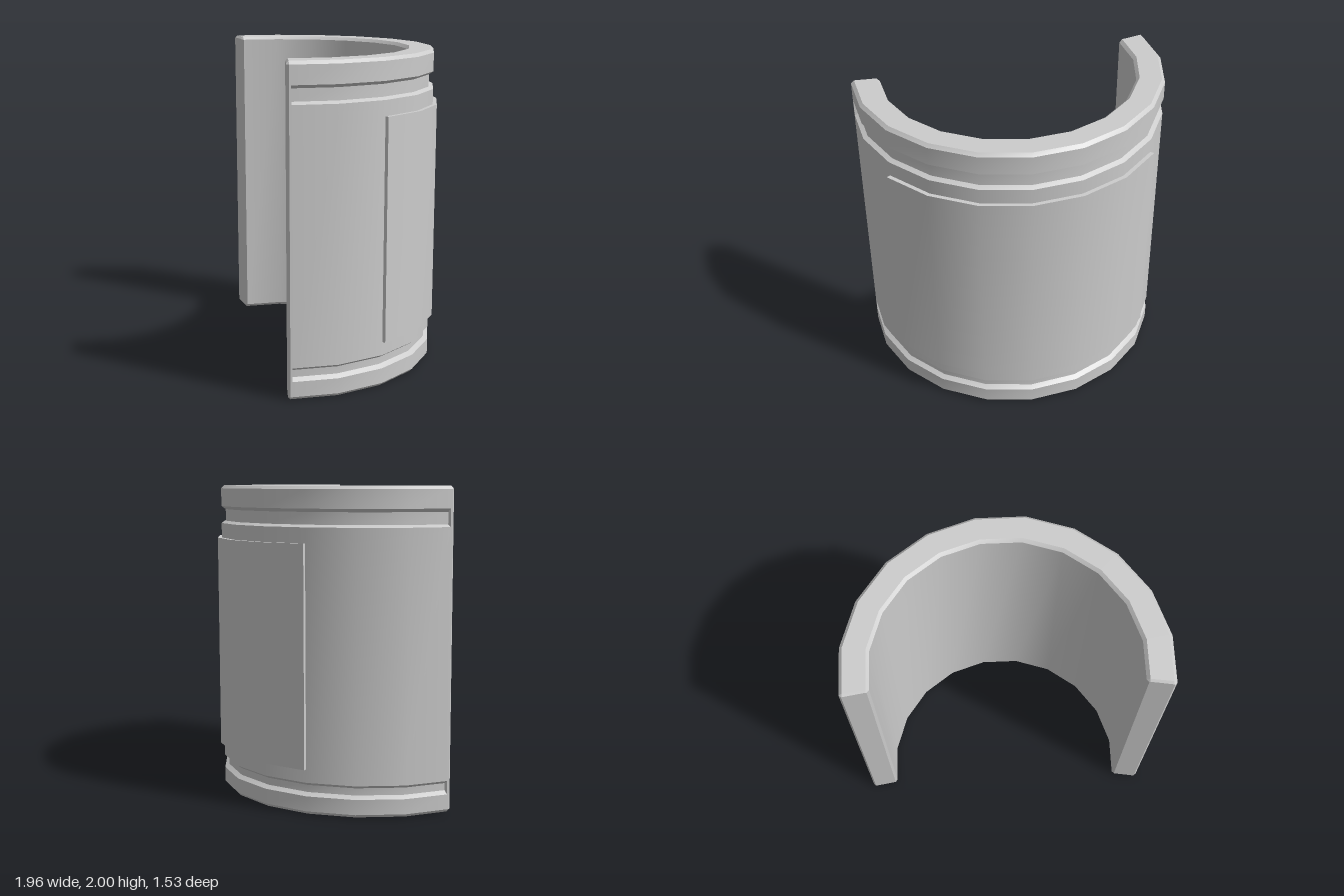
import * as THREE from 'three';
import { toCreasedNormals } from 'three/addons/utils/BufferGeometryUtils.js';

const CX = -0.025, CZ = 0.232;           // axis of the curved shell
const START = 32.3, STEP = 18, SIDES = 11; // facet angles in degrees
const R_IN = 0.806, R_OUT = 0.984;

// Point at radius r on the faceted arc; fractional t lies on the flat chord
function arcPoint(t, r, y) {
  const corner = (i) => {
    const a = THREE.MathUtils.degToRad(START - STEP * i);
    return new THREE.Vector3(CX + r * Math.cos(a), y, CZ + r * Math.sin(a));
  };
  const i = Math.min(Math.floor(t), SIDES - 1);
  return corner(i).lerp(corner(i + 1), t - i);
}

// Sweep counter-clockwise (radius, y) profiles along the arc and cap both ends
function sweep(stations) {
  const rings = stations.map(({ t, profile }) => profile.map(([r, y]) => arcPoint(t, r, y)));
  const pos = [];
  const tri = (a, b, c) => {
    const area = b.clone().sub(a).cross(c.clone().sub(a)).length();
    if (area > 1e-8) for (const p of [a, b, c]) pos.push(p.x, p.y, p.z);
  };
  const n = rings[0].length;
  for (let k = 0; k < rings.length - 1; k++) {
    for (let j = 0; j < n; j++) {
      const m = (j + 1) % n, p = rings[k], q = rings[k + 1];
      tri(p[j], q[j], q[m]);
      tri(p[j], q[m], p[m]);
    }
  }
  const cap = (index, flip) => {
    const ring = rings[index];
    const outline = stations[index].profile.map(([r, y]) => new THREE.Vector2(r, y));
    for (const [a, b, c] of THREE.ShapeUtils.triangulateShape(outline, [])) {
      if (flip) tri(ring[a], ring[c], ring[b]);
      else tri(ring[a], ring[b], ring[c]);
    }
  };
  cap(0, false);
  cap(rings.length - 1, true);
  const geo = new THREE.BufferGeometry();
  geo.setAttribute('position', new THREE.Float32BufferAttribute(pos, 3));
  // Scaled up while creasing so that narrow bevels stay distinct
  geo.scale(20, 20, 20);
  const creased = toCreasedNormals(geo, 0.4);
  creased.scale(0.05, 0.05, 0.05);
  return creased;
}

// Shell section: bevelled corners, two tapered grooves of depth d, inset b at the ends
function shellProfile(b, d) {
  const m = 0.02, o = R_OUT - b, g = o - d;
  return [
    [R_IN + m, b], [R_OUT - m, b], [o, m],
    [o, 0.115], [g, 0.135], [g, 0.18], [o, 0.2],
    [o, 1.755], [g, 1.77], [g, 1.845], [o, 1.865],
    [o, 2 - m], [R_OUT - m, 2 - b], [R_IN + m, 2 - b],
    [R_IN + b, 2 - m], [R_IN + b, m],
  ];
}

export function createModel() {
  const group = new THREE.Group();
  group.name = 'curvedCuff';
  const material = new THREE.MeshStandardMaterial({ color: 0xcccccc });
  const add = (name, geometry) => {
    const mesh = new THREE.Mesh(geometry, material);
    mesh.name = name;
    group.add(mesh);
  };

  // Thick open shell; the grooves stop just short of each bevelled end
  const capped = shellProfile(0.015, 0), plain = shellProfile(0, 0), grooved = shellProfile(0, 0.028);
  const shell = [
    { t: 0, profile: capped }, { t: 0.05, profile: plain },
    { t: 0.09, profile: plain }, { t: 0.09, profile: grooved },
  ];
  for (let i = 1; i < SIDES; i++) shell.push({ t: i, profile: grooved });
  shell.push(
    { t: SIDES - 0.09, profile: grooved }, { t: SIDES - 0.09, profile: plain },
    { t: SIDES - 0.05, profile: plain }, { t: SIDES, profile: capped },
  );
  add('shell', sweep(shell));

  // Thin raised plate wrapped round the outside
  const plate = [[0.975, 0.285], [1.01, 0.285], [1.01, 1.66], [0.975, 1.66]];
  add('outerPlate', sweep([2, 3, 4, 5, 6, 7, 8].map((t) => ({ t, profile: plate }))));

  return group;
}
